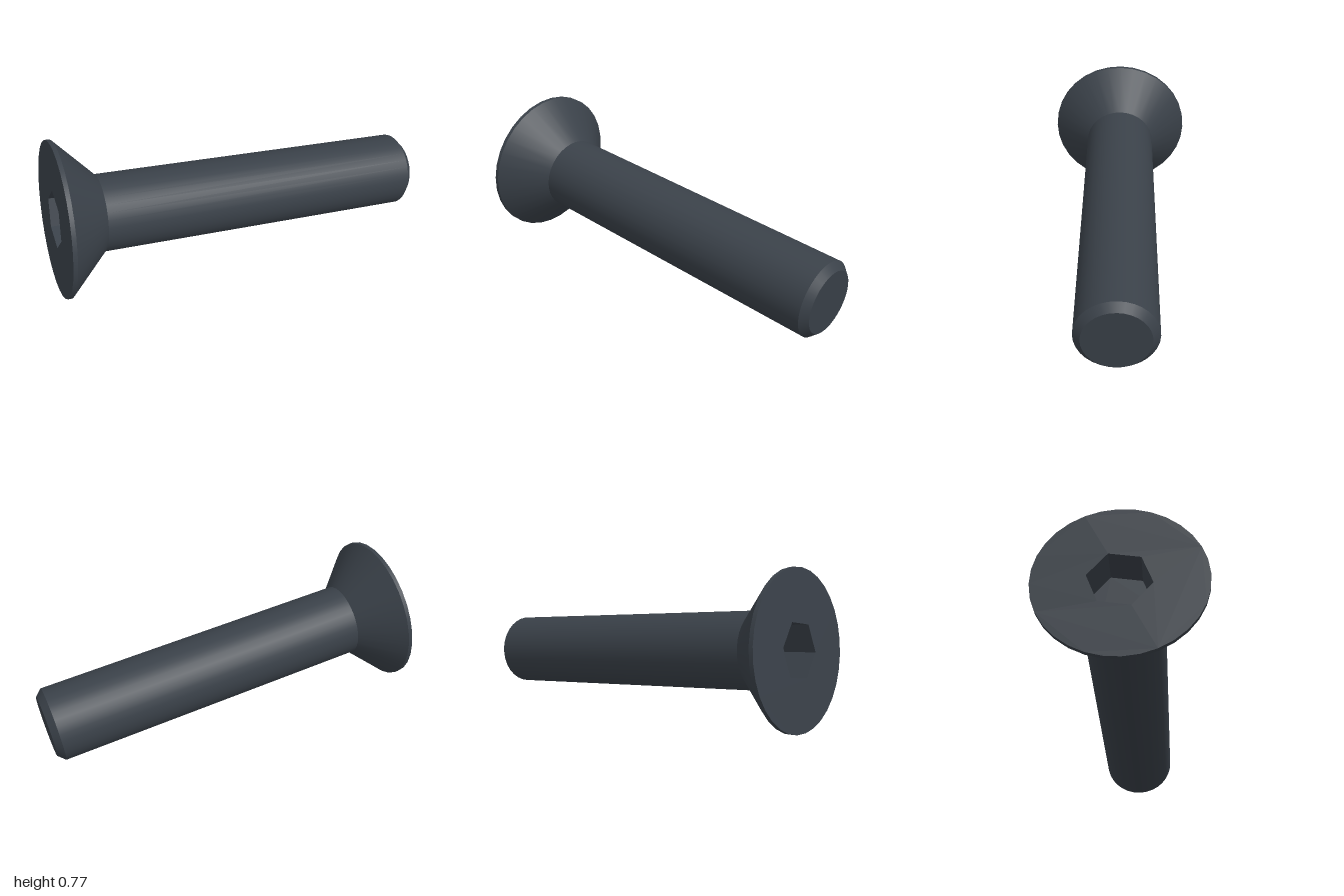
import * as THREE from 'three';

const SIDES = 32;
const HEAD_R = 0.387, SHAFT_R = 0.192, TIP_R = 0.158;
const RIM = 0.021, NECK = 0.216, CHAMFER = 1.891, LENGTH = 1.926;
const HEX_R = 0.146, HEX_DEPTH = 0.17, HEX_TURN = Math.PI / 16;

// Regular polygon outline for flat faces
function polygon(radius, sides, turn = 0, Type = THREE.Shape) {
  const points = [];
  for (let i = 0; i < sides; i++) {
    const a = -turn + (i / sides) * Math.PI * 2;
    points.push(new THREE.Vector2(radius * Math.cos(a), radius * Math.sin(a)));
  }
  return new Type(points);
}

export function createModel() {
  const blackSteel = new THREE.MeshStandardMaterial({ color: 0x3a4149 });
  blackSteel.name = 'blackSteel';

  // The screw is built along local z, head face at z = 0, tip at z = LENGTH
  const screw = new THREE.Group();
  screw.name = 'countersunkScrew';
  const add = (name, geometry) => {
    const mesh = new THREE.Mesh(geometry, blackSteel);
    mesh.name = name;
    screw.add(mesh);
  };

  // Turned bands, each separate so the edges between them stay sharp
  const bands = [
    ['headRim', HEAD_R, 0, HEAD_R, RIM],
    ['headCone', HEAD_R, RIM, SHAFT_R, NECK],
    ['shaft', SHAFT_R, NECK, SHAFT_R, CHAMFER],
    ['tipChamfer', SHAFT_R, CHAMFER, TIP_R, LENGTH],
  ];
  for (const [name, r0, t0, r1, t1] of bands) {
    const profile = [new THREE.Vector2(r0, t0), new THREE.Vector2(r1, t1)];
    add(name, new THREE.LatheGeometry(profile, SIDES).rotateX(Math.PI / 2));
  }
  add('tipFace', new THREE.ShapeGeometry(polygon(TIP_R, SIDES)).translate(0, 0, LENGTH));

  // Head face with a hexagonal opening
  const face = polygon(HEAD_R, SIDES);
  face.holes.push(polygon(HEX_R, 6, HEX_TURN, THREE.Path));
  add('headFace', new THREE.ShapeGeometry(face).rotateX(Math.PI));

  // Hex socket: inward-facing walls and a flat floor
  const walls = new THREE.CylinderGeometry(HEX_R, HEX_R, HEX_DEPTH, 6, 1, true, Math.PI / 2 - HEX_TURN)
    .rotateX(Math.PI / 2)
    .translate(0, 0, HEX_DEPTH / 2)
    .toNonIndexed();
  // Mirror and reverse each triangle's facing
  walls.scale(-1, 1, 1);
  walls.computeVertexNormals();
  add('socketWalls', walls);
  add('socketFloor', new THREE.ShapeGeometry(polygon(HEX_R, 6, HEX_TURN))
    .rotateX(Math.PI).translate(0, 0, HEX_DEPTH));

  // Lay the screw at its resting angle
  const axis = new THREE.Vector3(1, -0.105, 0.214).normalize();
  const across = new THREE.Vector3(0, 0, 1).addScaledVector(axis, -axis.z).normalize();
  const down = new THREE.Vector3().crossVectors(axis, across);
  screw.quaternion.setFromRotationMatrix(new THREE.Matrix4().makeBasis(across, down, axis));
  screw.position.set(-0.91, 0.386, -0.103);

  const model = new THREE.Group();
  model.name = 'screwModel';
  model.add(screw);
  return model;
}
